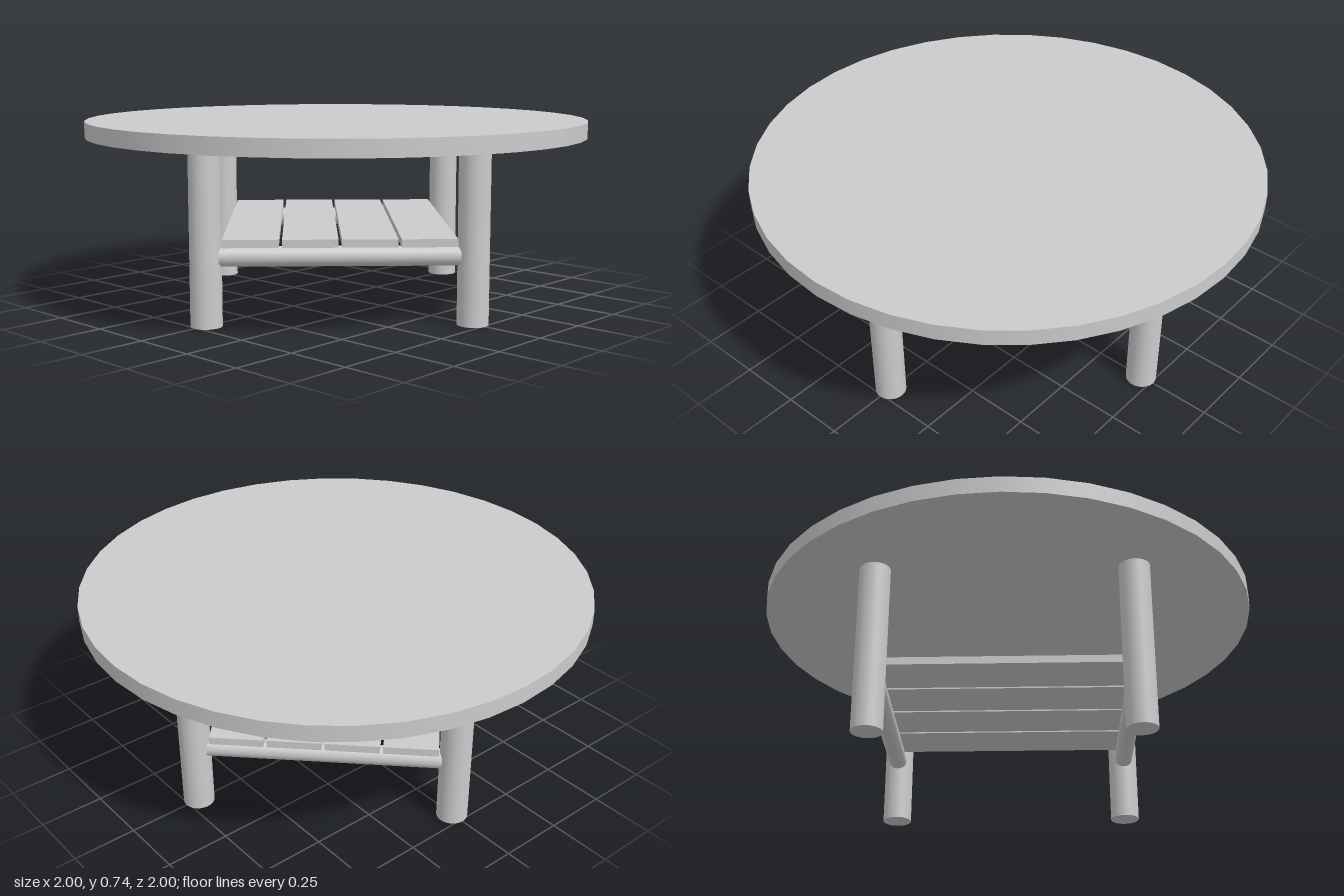
import * as THREE from 'three';

export function createModel() {
  const model = new THREE.Group();
  model.name = 'roundTable';
  const material = new THREE.MeshStandardMaterial({ color: 0xcccccc });

  const add = (parent, name, geometry, x, y, z) => {
    const mesh = new THREE.Mesh(geometry, material);
    mesh.name = name;
    mesh.position.set(x, y, z);
    parent.add(mesh);
    return mesh;
  };

  // Round table top
  const topBase = 0.674, topHeight = 0.064;
  add(model, 'tableTop', new THREE.CylinderGeometry(1, 1, topHeight, 40), 0, topBase + topHeight / 2, 0);

  // Four round legs, at the front, back and both sides
  const legGeometry = new THREE.CylinderGeometry(0.06, 0.06, topBase, 24);
  for (let i = 0; i < 4; i++) {
    const angle = i * Math.PI / 2;
    add(model, 'leg', legGeometry, 0.7 * Math.sin(angle), topBase / 2, 0.7 * Math.cos(angle));
  }

  // Lower shelf, turned 45 degrees to sit between the legs
  const shelf = new THREE.Group();
  shelf.name = 'shelf';
  shelf.rotation.y = Math.PI / 4;
  model.add(shelf);

  // Two round rails join neighbouring legs
  const railGeometry = new THREE.CylinderGeometry(0.038, 0.038, 0.89, 24).rotateX(Math.PI / 2);
  for (const side of [-1, 1]) add(shelf, 'rail', railGeometry, side * 0.495, 0.262, 0);

  // Four slats rest across the rails with narrow gaps
  const slatGeometry = new THREE.BoxGeometry(1.074, 0.03, 0.207);
  for (let i = 0; i < 4; i++) add(shelf, 'slat', slatGeometry, 0, 0.315, (i - 1.5) * 0.219);

  return model;
}
